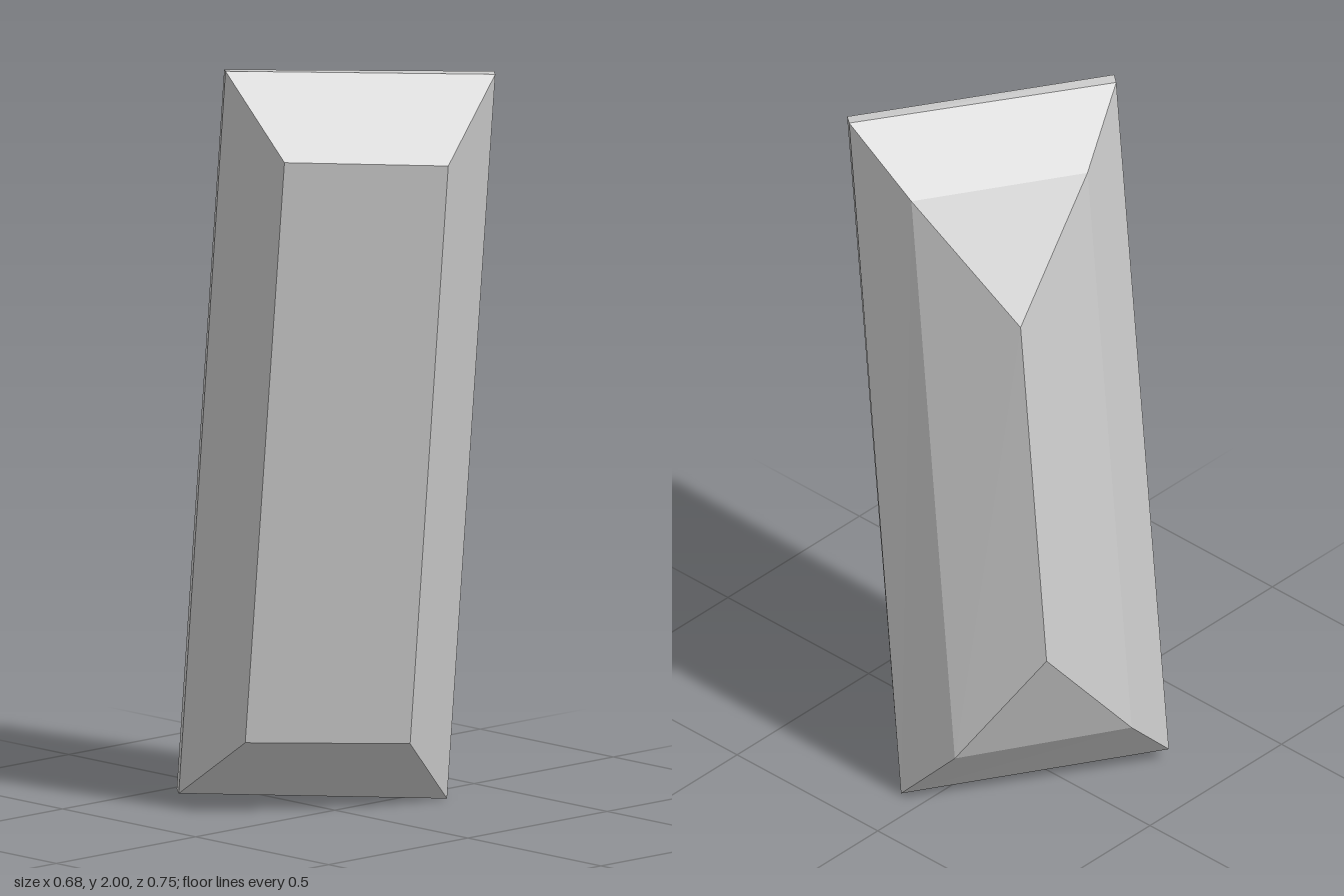
import * as THREE from 'three';

// Corners of the crystal prism, running counter-clockwise seen from above:
// each long edge has an upper and a lower end.
const edges = [
  { top: [-0.305, 1.78, 0.13], low: [-0.25, 0.205, -0.075] }, // front left
  { top: [0.05, 1.757, 0.374], low: [0.108, 0.188, 0.17] }, // front right
  { top: [0.24, 1.97, 0.352], low: [0.315, 0.002, 0.092] }, // ridge end, front
  { top: [0.26, 1.972, 0.326], low: [0.34, 0.006, 0.067] }, // ridge end, back
  { top: [0.26, 1.83, 0.105], low: [0.33, 0.2, -0.115] }, // side crease
  { top: [0.171, 1.53, -0.2], low: [0.209, 0.55, -0.328] }, // back edge
  { top: [-0.125, 1.85, -0.161], low: [-0.064, 0.22, -0.375] }, // back crease
  { top: [-0.32, 1.998, -0.081], low: [-0.243, 0.042, -0.34] }, // ridge end, back
  { top: [-0.34, 2.0, -0.055], low: [-0.264, 0.038, -0.31] }, // ridge end, front
];

// Facets closing each end: front bevel, ridge strip, back bevel, back chip
const endFacets = [[0, 1, 2, 8], [8, 2, 3, 7], [7, 3, 4, 6], [6, 4, 5]];

function facetMesh(name, polygons, material) {
  const positions = [];
  for (const p of polygons) {
    for (let i = 1; i < p.length - 1; i++) positions.push(...p[0], ...p[i], ...p[i + 1]);
  }
  const geometry = new THREE.BufferGeometry();
  geometry.setAttribute('position', new THREE.Float32BufferAttribute(positions, 3));
  geometry.computeVertexNormals();
  const mesh = new THREE.Mesh(geometry, material);
  mesh.name = name;
  return mesh;
}

export function createModel() {
  const group = new THREE.Group();
  group.name = 'crystal';
  const material = new THREE.MeshStandardMaterial({ color: 0xcccccc, flatShading: true });

  // Long sides
  const sides = edges.map((e, i) => {
    const next = edges[(i + 1) % edges.length];
    return [e.low, next.low, next.top, e.top];
  });
  // Upper tip, and lower tip with reversed winding
  const upper = endFacets.map((f) => f.map((i) => edges[i].top));
  const lower = endFacets.map((f) => f.map((i) => edges[i].low).reverse());

  group.add(
    facetMesh('crystalSides', sides, material),
    facetMesh('upperTip', upper, material),
    facetMesh('lowerTip', lower, material),
  );
  return group;
}
